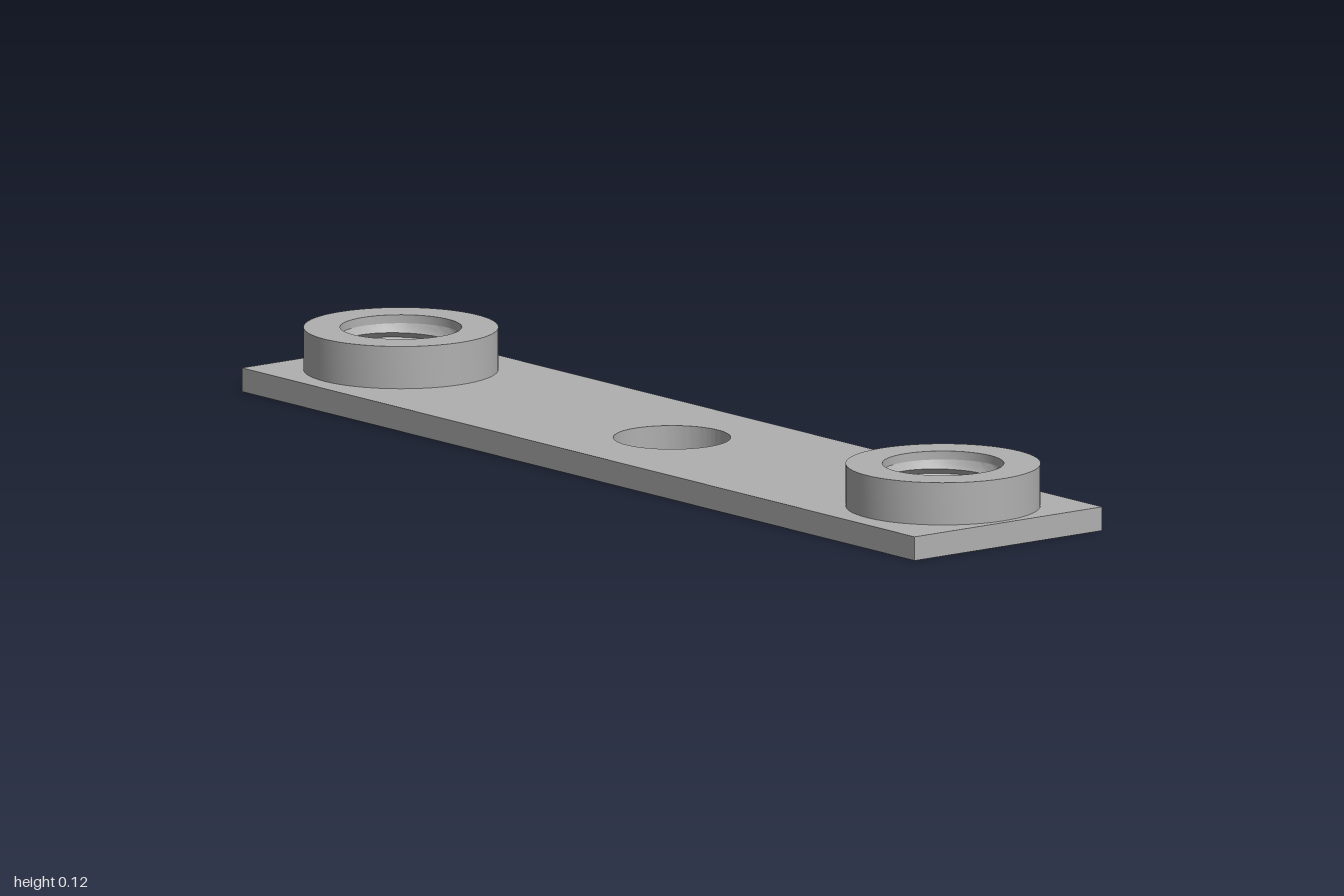
import * as THREE from 'three';
import { toCreasedNormals } from 'three/addons/utils/BufferGeometryUtils.js';

const LENGTH = 2, WIDTH = 0.445, PLATE = 0.045, TOP = 0.125;
const BOSS_X = 0.806, BOSS_R = 0.181, BORE_R = 0.113;
const CREST_R = 0.103, ROOT_R = 0.111, PITCH = 0.02, THREAD_TOP = 0.109;
const SEGMENTS = 64;

function circleHole(x, r) {
  const hole = new THREE.Path();
  hole.absarc(x, 0, r, 0, Math.PI * 2, true);
  return hole;
}

// Flat bar with one central hole and a hole under each boss
function plateGeometry() {
  const w = LENGTH / 2, d = WIDTH / 2;
  const shape = new THREE.Shape([
    new THREE.Vector2(-w, -d), new THREE.Vector2(w, -d),
    new THREE.Vector2(w, d), new THREE.Vector2(-w, d),
  ]);
  shape.holes.push(circleHole(0, 0.109), circleHole(-BOSS_X, BORE_R), circleHole(BOSS_X, BORE_R));
  const g = new THREE.ExtrudeGeometry(shape, { depth: PLATE, bevelEnabled: false, curveSegments: SEGMENTS });
  g.rotateX(-Math.PI / 2);
  return toCreasedNormals(g, 0.6);
}

// Raised collar: outer wall, top ring and the plain mouth of the bore
function bossGeometry() {
  const profile = [
    [BOSS_R, PLATE], [BOSS_R, TOP], [BORE_R, TOP], [BORE_R, THREAD_TOP],
  ].map(([r, y]) => new THREE.Vector2(r, y));
  return toCreasedNormals(new THREE.LatheGeometry(profile, SEGMENTS), 0.6);
}

// Helical thread: a zigzag bore sheared by one pitch per turn, clipped at both ends
function threadGeometry() {
  const rows = Math.ceil(THREAD_TOP / PITCH) * 2 + 4;
  const profile = [];
  for (let j = rows; j >= 0; j--) {
    profile.push(new THREE.Vector2(j % 2 ? ROOT_R : CREST_R, (j / 2 - 1) * PITCH));
  }
  const g = new THREE.LatheGeometry(profile, SEGMENTS);
  const p = g.attributes.position;
  for (let i = 0; i < p.count; i++) {
    const turn = Math.floor(i / profile.length) / SEGMENTS;
    const y = p.getY(i) + turn * PITCH;
    if (y <= 0 || y >= THREAD_TOP) {
      const k = BORE_R / Math.hypot(p.getX(i), p.getZ(i));
      p.setX(i, p.getX(i) * k);
      p.setZ(i, p.getZ(i) * k);
    }
    p.setY(i, THREE.MathUtils.clamp(y, 0, THREAD_TOP));
  }
  return toCreasedNormals(g, 0.6);
}

export function createModel() {
  const group = new THREE.Group();
  group.name = 'threadedMountingPlate';
  const metal = new THREE.MeshStandardMaterial({ color: 0xb0b0b0 });
  metal.name = 'grey metal';

  const add = (parent, name, geometry) => {
    const mesh = new THREE.Mesh(geometry, metal);
    mesh.name = name;
    parent.add(mesh);
  };

  add(group, 'plate', plateGeometry());

  // One threaded boss near each end
  const boss = bossGeometry(), thread = threadGeometry();
  for (const [side, name] of [[1, 'leftBoss'], [-1, 'rightBoss']]) {
    const end = new THREE.Group();
    end.name = name;
    end.position.x = side * BOSS_X;
    add(end, 'collar', boss);
    add(end, 'thread', thread);
    group.add(end);
  }
  return group;
}
